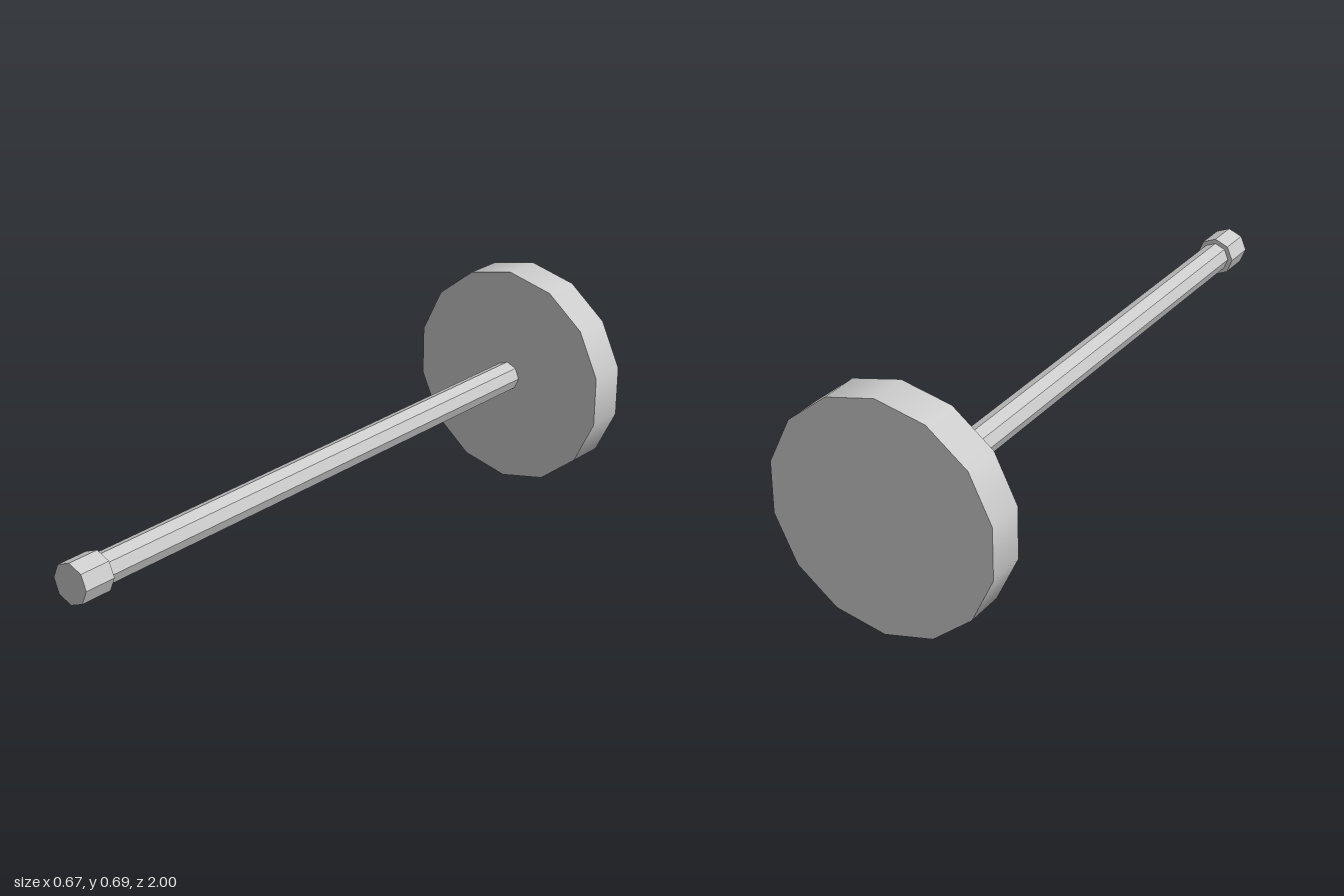
import * as THREE from 'three';

const AXIS_Y = 0.346; // height of the common axis

export function createModel() {
  const group = new THREE.Group();
  const grey = new THREE.MeshStandardMaterial({ color: 0xcccccc });
  grey.name = 'grey';

  // prism along z with a corner at its top and bottom
  const addPrism = (name, radius, sides, zBack, zFront, flat) => {
    let geometry = new THREE.CylinderGeometry(radius, radius, zFront - zBack, sides);
    geometry.rotateX(Math.PI / 2);
    if (flat) {
      geometry = geometry.toNonIndexed();
      geometry.computeVertexNormals();
    }
    const mesh = new THREE.Mesh(geometry, grey);
    mesh.name = name;
    mesh.position.set(0, AXIS_Y, (zBack + zFront) / 2);
    group.add(mesh);
  };

  addPrism('disc', 0.345, 14, -1, -0.88, false);
  addPrism('rod', 0.046, 8, -0.88, 0.9, true);
  addPrism('endCap', 0.061, 8, 0.9, 1, true);

  return group;
}
